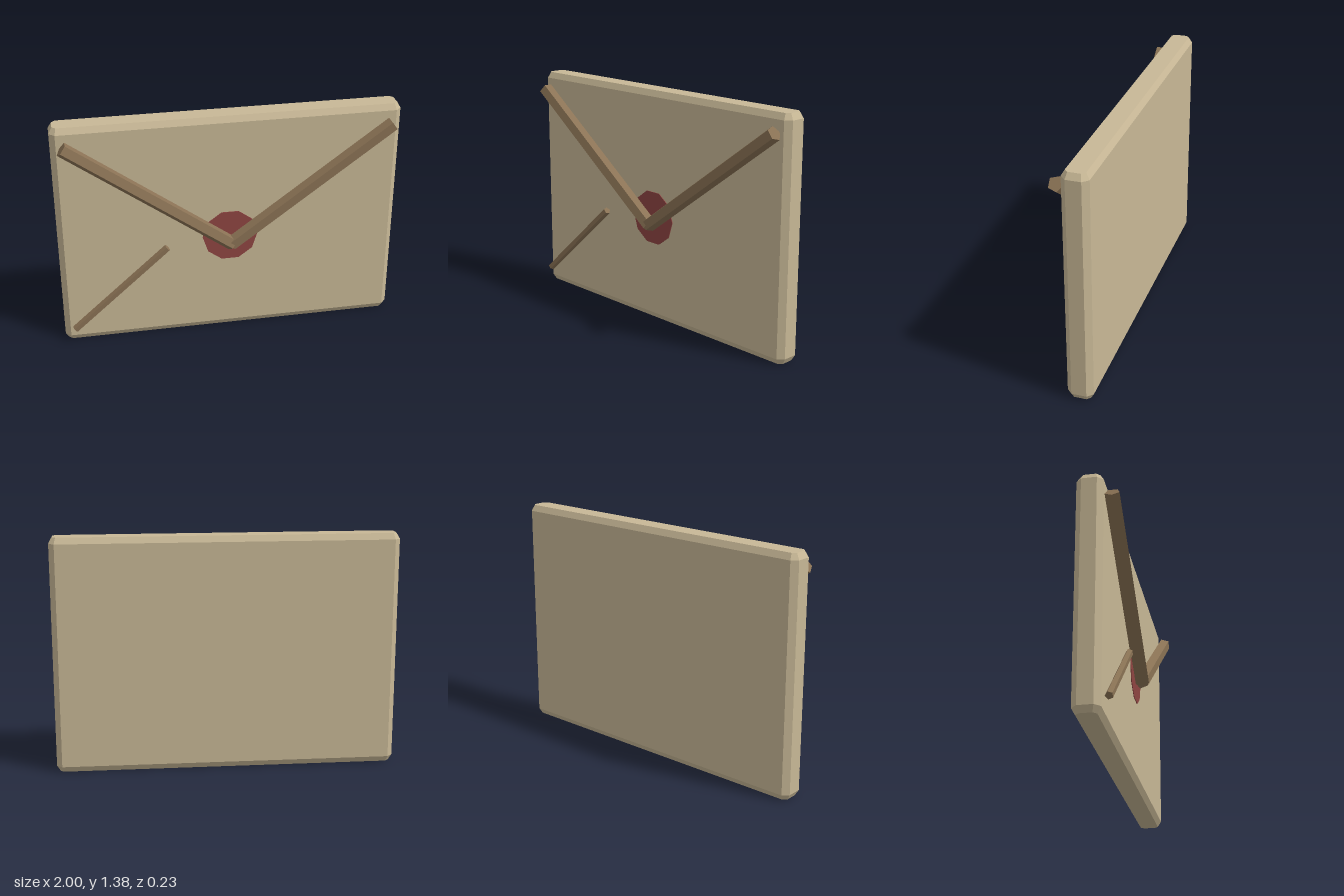
import * as THREE from 'three';

const paper = new THREE.MeshStandardMaterial({ color: 0xc8b896, flatShading: true });
paper.name = 'paper tan';
const wood = new THREE.MeshStandardMaterial({ color: 0x8b7355, flatShading: true });
wood.name = 'fold brown';
const wax = new THREE.MeshStandardMaterial({ color: 0x8f4542, flatShading: true });
wax.name = 'wax red';

function add(group, name, geometry, material) {
  const mesh = new THREE.Mesh(geometry, material);
  mesh.name = name;
  group.add(mesh);
  return mesh;
}

// Five-sided rod between two points of the front; spin turns it about its own axis
function rodGeometry([x0, y0], [x1, y1], z, radius, spin) {
  const dx = x1 - x0, dy = y1 - y0;
  const g = new THREE.CylinderGeometry(radius, radius, Math.hypot(dx, dy), 5);
  g.rotateY(spin);
  g.rotateZ(Math.atan2(dy, dx) - Math.PI / 2);
  g.translate((x0 + x1) / 2, (y0 + y1) / 2, z);
  return g;
}

export function createModel() {
  const model = new THREE.Group();
  model.name = 'sealedEnvelope';

  // Envelope body: chamfered footprint raised upward, with bevelled top and bottom
  const w = 1, d = 0.075, c = 0.032;
  const footprint = new THREE.Shape([
    [w, -d + c], [w, d - c], [w - c, d], [-w + c, d],
    [-w, d - c], [-w, -d + c], [-w + c, -d], [w - c, -d],
  ].map(([x, y]) => new THREE.Vector2(x, y)));
  const body = new THREE.ExtrudeGeometry(footprint, {
    depth: 1.31, bevelEnabled: true, bevelSegments: 1,
    bevelThickness: 0.035, bevelSize: 0.02, bevelOffset: -0.02,
  });
  body.rotateX(-Math.PI / 2);
  body.translate(0, 0.035, -0.042);
  add(model, 'envelopeBody', body, paper);

  // Wax seal: ten-sided disc almost flush with the front
  const seal = new THREE.CylinderGeometry(0.163, 0.163, 0.008, 10);
  seal.rotateY(Math.PI / 2);
  seal.rotateX(Math.PI / 2);
  seal.translate(0, 0.628, 0.033);
  add(model, 'waxSeal', seal, wax);

  // Flap folds meeting at the seal, and a short crease at the lower corner
  add(model, 'rightFlapFold', rodGeometry([0.01, 0.59], [-0.94, 1.28], 0.073, 0.043, -0.3), wood);
  add(model, 'leftFlapFold', rodGeometry([0, 0.59], [0.94, 1.28], 0.072, 0.043, Math.PI), wood);
  add(model, 'cornerCrease', rodGeometry([-0.94, 0.1], [-0.375, 0.6], 0.066, 0.022, Math.PI), wood);

  return model;
}
